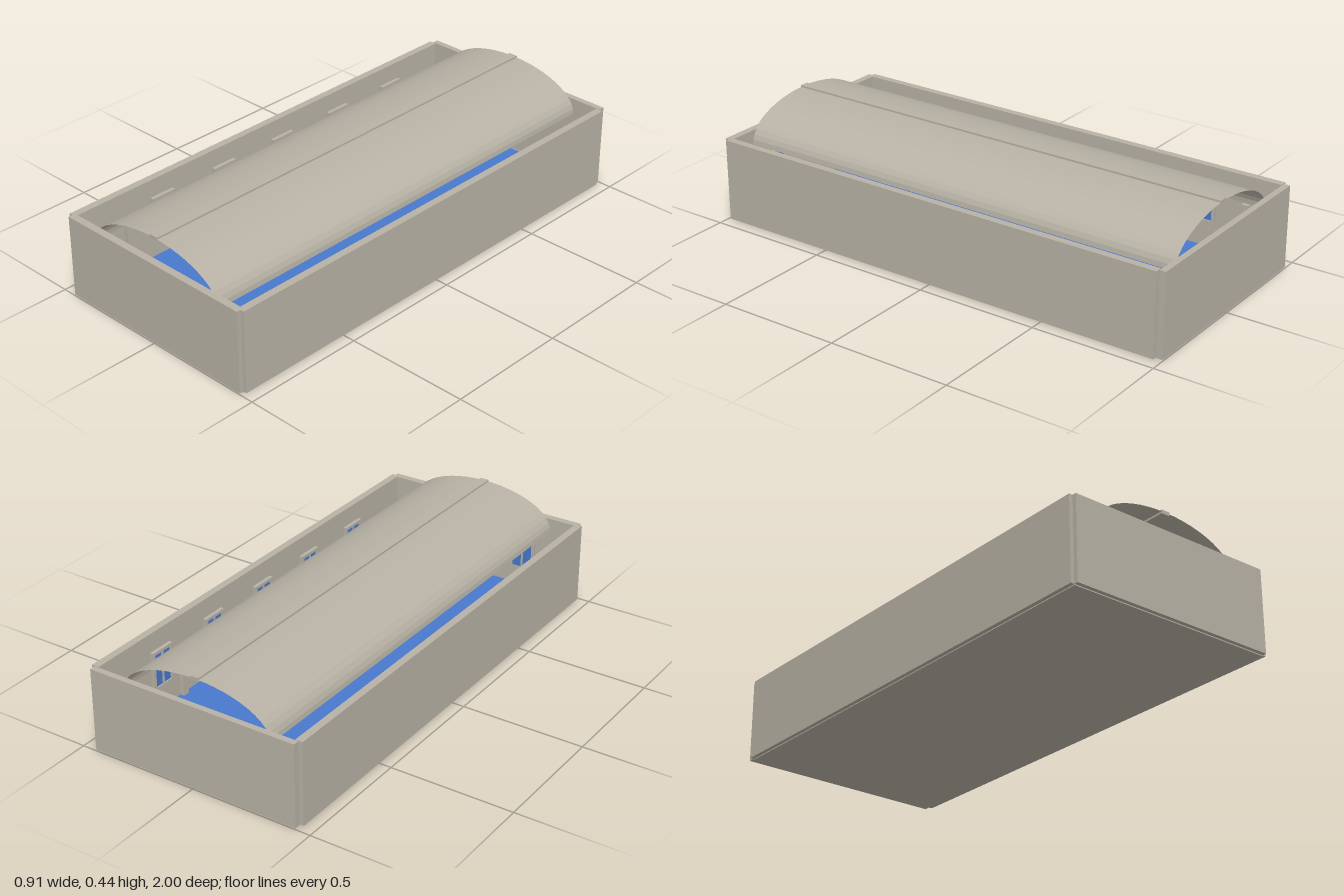
import * as THREE from 'three';

export function createModel() {
  const root = new THREE.Group();
  const stone = new THREE.MeshStandardMaterial({ color: 0xb8b2a5, flatShading: true, side: THREE.DoubleSide });
  stone.name = 'stone';
  const blue = new THREE.MeshStandardMaterial({ color: 0x4878cc });
  blue.name = 'blue';

  const box = (name, mat, w, h, d, x, y, z, parent = root) => {
    const mesh = new THREE.Mesh(new THREE.BoxGeometry(w, h, d), mat);
    mesh.name = name;
    mesh.position.set(x, y, z);
    parent.add(mesh);
    return mesh;
  };

  // Foundation with a thin blue floor on top; a narrow gap is left at the back
  box('foundation', stone, 0.88, 0.004, 1.95, 0, 0.002, 0.01);
  box('floor', blue, 0.87, 0.004, 1.94, 0, 0.006, 0.01);

  // Outer walls, stepped at the corners
  const wallH = 0.335, wallY = 0.005 + wallH / 2;
  box('frontWall', stone, 0.88, wallH, 0.03, 0, wallY, 0.985);
  box('backWall', stone, 0.88, wallH, 0.025, 0, wallY, -0.9875);
  for (const s of [-1, 1]) {
    box('sideWall', stone, 0.03, wallH, 1.955, s * 0.44, wallY, 0.0055);
  }

  // Barrel vault: an open half-elliptical sheet swept along z
  const vault = new THREE.CylinderGeometry(1, 1, 1.94, 24, 1, true, -Math.PI / 2, Math.PI);
  vault.rotateX(-Math.PI / 2);
  vault.scale(0.32, 0.147, 1);
  const top = new THREE.Box3().setFromBufferAttribute(vault.attributes.position).max.y;
  if (top < 0.01) vault.rotateZ(Math.PI);
  vault.computeVertexNormals();
  const vaultMesh = new THREE.Mesh(vault, stone);
  vaultMesh.name = 'vaultedRoof';
  vaultMesh.position.set(0, 0.283, 0.005);
  root.add(vaultMesh);
  box('ridgeBeam', stone, 0.038, 0.015, 1.94, 0, 0.4295, 0.005);

  // Framed opening facing +z, with a blue pane
  const framed = (name, w, h, t) => {
    const g = new THREE.Group();
    g.name = name;
    const bar = 0.012;
    const shape = new THREE.Shape([[-w, -h], [w, -h], [w, h], [-w, h]].map(([x, y]) => new THREE.Vector2(x / 2, y / 2)));
    const iw = w / 2 - bar, ih = h / 2 - bar;
    shape.holes.push(new THREE.Path([[-iw, -ih], [-iw, ih], [iw, ih], [iw, -ih]].map(p => new THREE.Vector2(...p))));
    const geo = new THREE.ExtrudeGeometry(shape, { depth: t, bevelEnabled: false });
    geo.translate(0, 0, -t / 2);
    const frame = new THREE.Mesh(geo, stone);
    frame.name = 'frame';
    g.add(frame);
    box('pane', blue, iw * 2, ih * 2, 0.004, 0, 0, 0, g);
    box('mullion', stone, 0.008, ih * 2, t * 0.8, 0, 0, 0, g);
    root.add(g);
    return g;
  };

  // Windows and pilasters along both long walls
  for (const s of [-1, 1]) {
    for (let i = 0; i < 5; i++) {
      const win = framed('sideWindow', 0.11, 0.16, 0.015);
      win.position.set(s * 0.399, 0.2, -0.66 + i * 0.3125);
      win.rotation.y = -s * Math.PI / 2;
    }
    for (let i = 0; i < 6; i++) {
      box('pilaster', stone, 0.016, 0.22, 0.03, s * 0.415, 0.118, -0.835 + i * 0.3165);
    }
    // Windows inside the front wall
    framed('frontWindow', 0.11, 0.14, 0.012).position.set(s * 0.2, 0.15, 0.963);
  }

  // Door inside the back wall
  box('backDoor', stone, 0.17, 0.2, 0.008, 0, 0.11, -0.97);

  return root;
}
